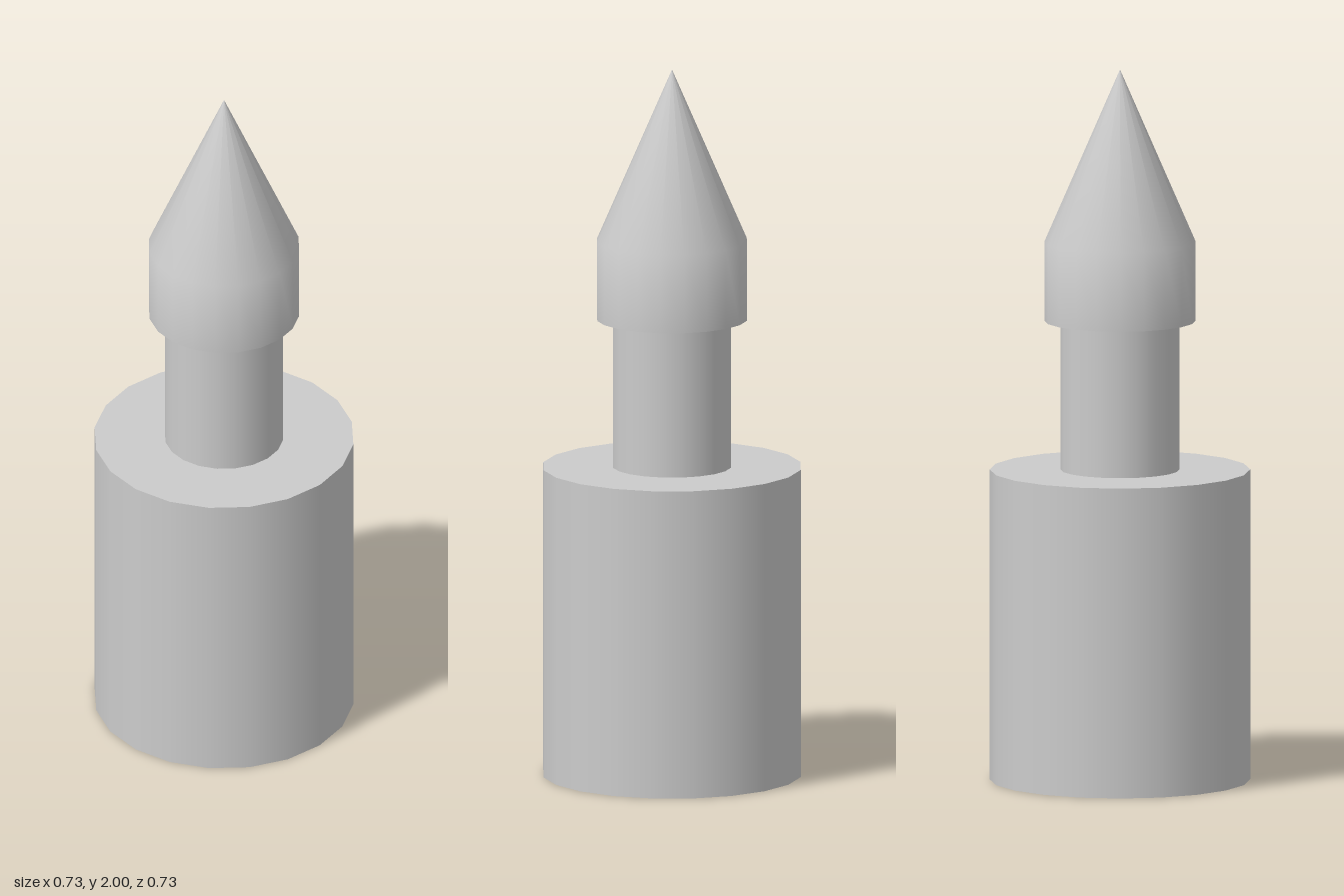
import * as THREE from 'three';

const SIDES = 20;

export function createModel() {
  const group = new THREE.Group();
  const material = new THREE.MeshStandardMaterial({ color: 0xcccccc });

  const add = (name, geometry, parent = group) => {
    const mesh = new THREE.Mesh(geometry, material);
    mesh.name = name;
    parent.add(mesh);
    return mesh;
  };

  // Upright cylinder between two heights
  const post = (name, radius, bottom, top) => {
    const geometry = new THREE.CylinderGeometry(radius, radius, top - bottom, SIDES);
    return add(name, geometry.translate(0, (bottom + top) / 2, 0));
  };

  post('base', 0.363, 0, 0.873);
  post('neck', 0.166, 0.873, 1.292);

  // Pointed head: short collar blending smoothly into a cone
  const head = new THREE.Group();
  head.name = 'head';
  group.add(head);
  const profile = [[0.211, 1.292], [0.211, 1.515], [0, 2]].map(([r, y]) => new THREE.Vector2(r, y));
  add('headShell', new THREE.LatheGeometry(profile, SIDES), head);

  // Flat underside of the head
  const underside = new THREE.CircleGeometry(0.211, SIDES).rotateX(Math.PI / 2).translate(0, 1.292, 0);
  add('headUnderside', underside, head);

  return group;
}
